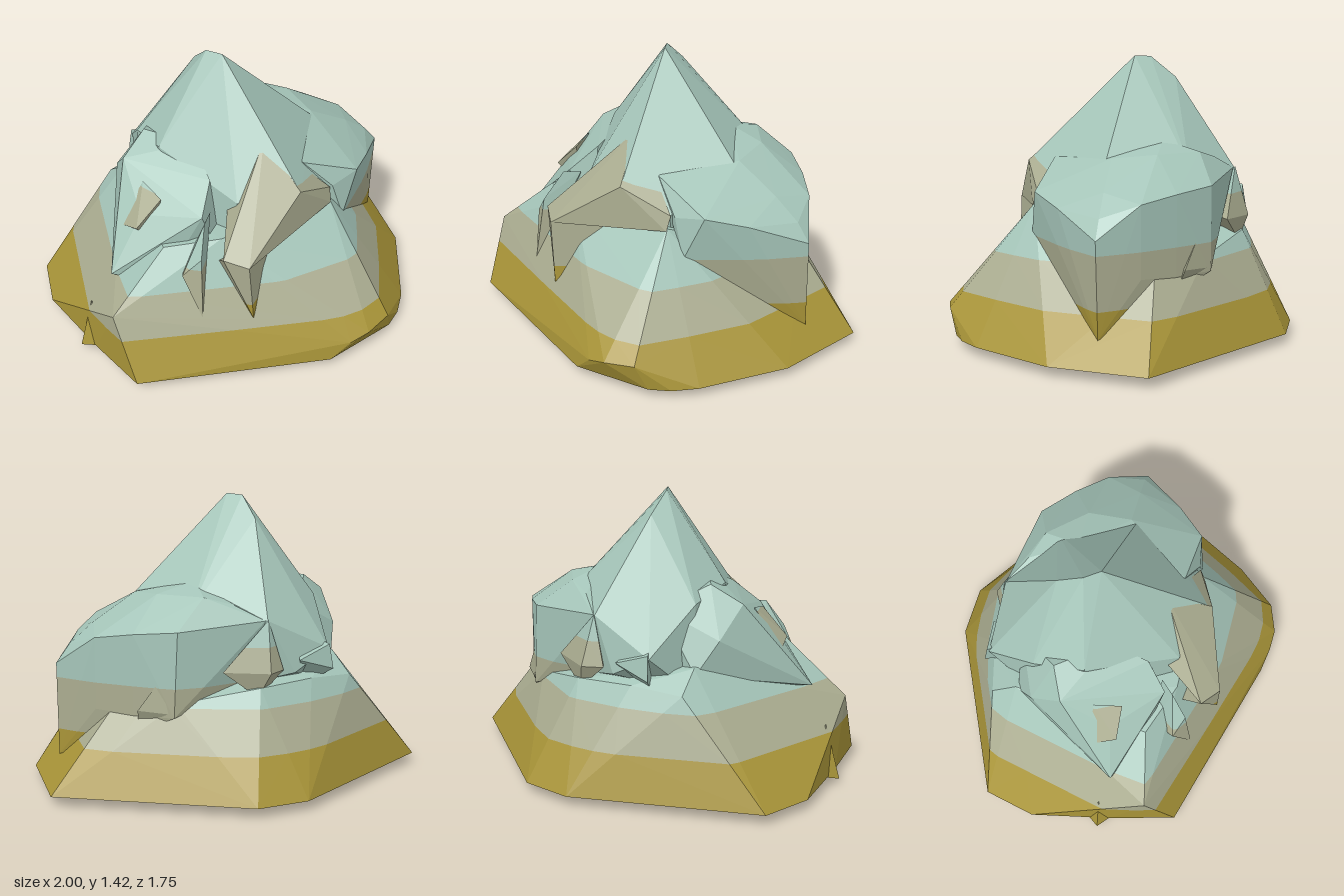
import * as THREE from 'three';
import { ConvexGeometry } from 'three/addons/geometries/ConvexGeometry.js';

const flat = (name, color) => {
  const m = new THREE.MeshStandardMaterial({ color, flatShading: true });
  m.name = name;
  return m;
};

// Keep the part of a polygon above (sign 1) or below (sign -1) a height
function clip(poly, h, sign) {
  const out = [];
  poly.forEach((a, i) => {
    const b = poly[(i + 1) % poly.length];
    const da = (a.y - h) * sign, db = (b.y - h) * sign;
    if (da >= 0) out.push(a);
    if (da * db < 0) out.push(a.clone().lerp(b, da / (da - db)));
  });
  return out;
}

// Faceted boulder through the given corners, split into three height bands
function boulder(name, corners, mats, low = 0.26, high = 0.47) {
  const src = new ConvexGeometry(corners.map(c => new THREE.Vector3(...c))).getAttribute('position');
  const bands = [[], [], []];
  for (let i = 0; i < src.count; i += 3) {
    const tri = [0, 1, 2].map(k => new THREE.Vector3().fromBufferAttribute(src, i + k));
    const upper = clip(tri, low, 1);
    [clip(tri, low, -1), clip(upper, high, -1), clip(upper, high, 1)].forEach((p, b) => {
      for (let k = 1; k + 1 < p.length; k++) {
        for (const v of [p[0], p[k], p[k + 1]]) bands[b].push(v.x, v.y, v.z);
      }
    });
  }
  const geo = new THREE.BufferGeometry();
  geo.setAttribute('position', new THREE.Float32BufferAttribute(bands.flat(), 3));
  let start = 0;
  bands.forEach((b, i) => {
    if (b.length) geo.addGroup(start, b.length / 3, i);
    start += b.length / 3;
  });
  geo.computeVertexNormals();
  const mesh = new THREE.Mesh(geo, mats);
  mesh.name = name;
  return mesh;
}

export function createModel() {
  const mats = [flat('olive', 0xa89438), flat('khaki', 0xaaac90), flat('sage', 0xa4c4b8)];
  const group = new THREE.Group();
  group.name = 'rock';
  const add = (name, corners, low, high) => group.add(boulder(name, corners, mats, low, high));
  const slab = (name, outline, y0, y1) =>
    add(name, outline.flatMap(([x, z]) => [[x, y0, z], [x, y1, z]]));

  // Two thin slabs under the rock
  slab('footSlab', [[0.68, -0.2], [0.67, 0.05], [0.1, 0.57], [-0.3, 0.56], [-0.73, -0.2],
    [0.13, -0.68]], 0, 0.06);
  slab('upperSlab', [[0.83, 0.2], [0.75, -0.15], [-0.18, -0.6], [-0.6, -0.54], [-0.94, 0],
    [-0.73, 0.39], [0.1, 0.51]], 0.03, 0.06);

  // Wide base
  add('base', [
    [0, 0.05, -0.88], [0.26, 0.05, -0.84], [1, 0.05, -0.19], [0.87, 0.05, 0.28], [0.6, 0.05, 0.66],
    [0.5, 0.05, 0.75], [0.4, 0.05, 0.8], [0, 0.05, 0.83], [-0.9, 0.05, 0.44], [-0.95, 0.05, 0.1],
    [-0.99, 0.05, -0.33], [-0.9, 0.05, -0.59], [0.1, 0.14, 0.86], [0.2, 0.17, 0.875],
    [0.35, 0.18, 0.84], [-0.92, 0.38, 0.27], [0.26, 0.7, 0.42], [-0.35, 0.68, 0.36],
    [-0.6, 0.65, 0.23], [-0.62, 0.5, -0.3], [-0.45, 0.64, -0.46], [-0.46, 0.54, -0.59],
    [-0.2, 0.56, -0.62], [0.1, 0.55, -0.62], [0.45, 0.48, -0.43], [0.67, 0.44, -0.2]], 0.26, 0.46);
  add('leftSpur', [[-1, 0.03, 0.03], [-0.94, 0.05, 0.1], [-0.94, 0.05, -0.04],
    [-0.92, 0.3, 0.03], [-0.75, 0.05, 0.03]]);

  // Pointed summit
  add('summit', [
    [-0.07, 1.42, -0.06], [-0.11, 1.415, -0.14], [-0.1, 1.31, -0.27], [0.03, 0.86, -0.575],
    [0.42, 0.93, 0.05], [0.32, 0.9, -0.35], [0.03, 0.885, 0.48], [0.26, 0.76, 0.4],
    [-0.25, 0.85, 0.35], [-0.42, 0.98, -0.1], [-0.4, 0.92, -0.36], [-0.3, 0.7, -0.62],
    [-0.1, 0.6, -0.62], [0.25, 0.5, 0.35], [-0.3, 0.5, 0.3], [-0.4, 0.5, -0.4],
    [0.3, 0.5, -0.4]], 0.26, 0.46);

  // Domed shoulder reaching round to the back, with a steep outer wall
  add('domedShoulder', [
    [0.84, 0.63, 0.06], [0.84, 0.17, 0.05], [0.62, 0.74, 0.26], [0.45, 0.79, 0.39],
    [0.29, 0.76, 0.4], [0.35, 0.56, 0.42], [0.73, 0.78, -0.14], [0.77, 0.72, 0.05],
    [0.64, 0.82, 0.04], [0.61, 0.81, -0.3], [0.73, 0.43, -0.14], [0.61, 0.42, -0.3],
    [0.46, 0.83, -0.46], [0.48, 0.42, -0.46], [0.42, 0.95, 0.02], [0.42, 0.97, -0.2],
    [0.22, 1.02, -0.22], [0.28, 0.97, -0.4], [0.15, 0.92, 0.33], [0.04, 0.86, -0.57],
    [0.15, 0.93, -0.47], [0.1, 0.55, -0.5]], 0.3, 0.56);

  // Left shoulder
  add('leftShoulder', [
    [-0.57, 0.91, -0.2], [-0.42, 1.0, -0.25], [-0.28, 1.01, 0], [-0.31, 0.92, 0.2],
    [-0.42, 0.8, 0.3], [-0.62, 0.74, 0.05], [-0.69, 0.68, -0.04], [-0.82, 0.47, 0.08],
    [-0.53, 0.76, -0.36], [-0.45, 0.6, -0.45], [-0.25, 0.9, -0.44],
    [-0.3, 0.5, 0.28], [-0.6, 0.4, 0.2], [-0.15, 0.5, -0.4]], 0.26, 0.46);
  add('leftFin', [[-0.58, 0.56, 0.37], [-0.53, 0.33, 0.47], [-0.43, 0.8, 0.34],
    [-0.5, 0.66, 0.42], [-0.36, 0.8, 0.28], [-0.5, 0.5, 0.25]], 0.2, 0.6);
  add('leftNotch', [[-0.7, 0.66, -0.04], [-0.55, 0.86, -0.04], [-0.53, 0.83, 0.1],
    [-0.67, 0.7, 0.09], [-0.55, 0.55, 0.03]], 0.2, 0.84);

  // Overhanging front ledge and the buttress beneath its left corner
  add('frontLedge', [[-0.03, 1.09, 0.25], [0.03, 0.888, 0.482], [-0.33, 0.64, 0.58],
    [-0.42, 0.67, 0.49], [0.27, 0.765, 0.405], [0.26, 0.69, 0.43], [-0.09, 0.65, 0.43],
    [-0.2, 0.85, 0.2]], 0.35, 1.1);
  add('frontButtress', [[-0.33, 0.64, 0.58], [-0.42, 0.67, 0.49], [-0.31, 0.31, 0.59],
    [-0.09, 0.65, 0.43], [-0.35, 0.5, 0.3]], 0.4, 0.8);

  // Crags along the back
  add('backCrag', [[0.03, 0.865, -0.58], [0.06, 0.62, -0.65], [-0.04, 0.62, -0.61],
    [0.26, 0.63, -0.54], [0.1, 0.5, -0.6], [0.1, 0.65, -0.4]], 0.2, 0.74);
  add('backRightCrag', [[0.52, 0.6, -0.4], [0.61, 0.45, -0.34], [0.59, 0.37, -0.31],
    [0.5, 0.44, -0.44], [0.45, 0.45, -0.3]], 0.2, 0.6);
  add('backLeftCrag', [[-0.3, 0.72, -0.63], [-0.31, 0.6, -0.65], [-0.12, 0.66, -0.63],
    [-0.25, 0.5, -0.5], [-0.22, 0.78, -0.45]], 0.26, 0.5);
  return group;
}
